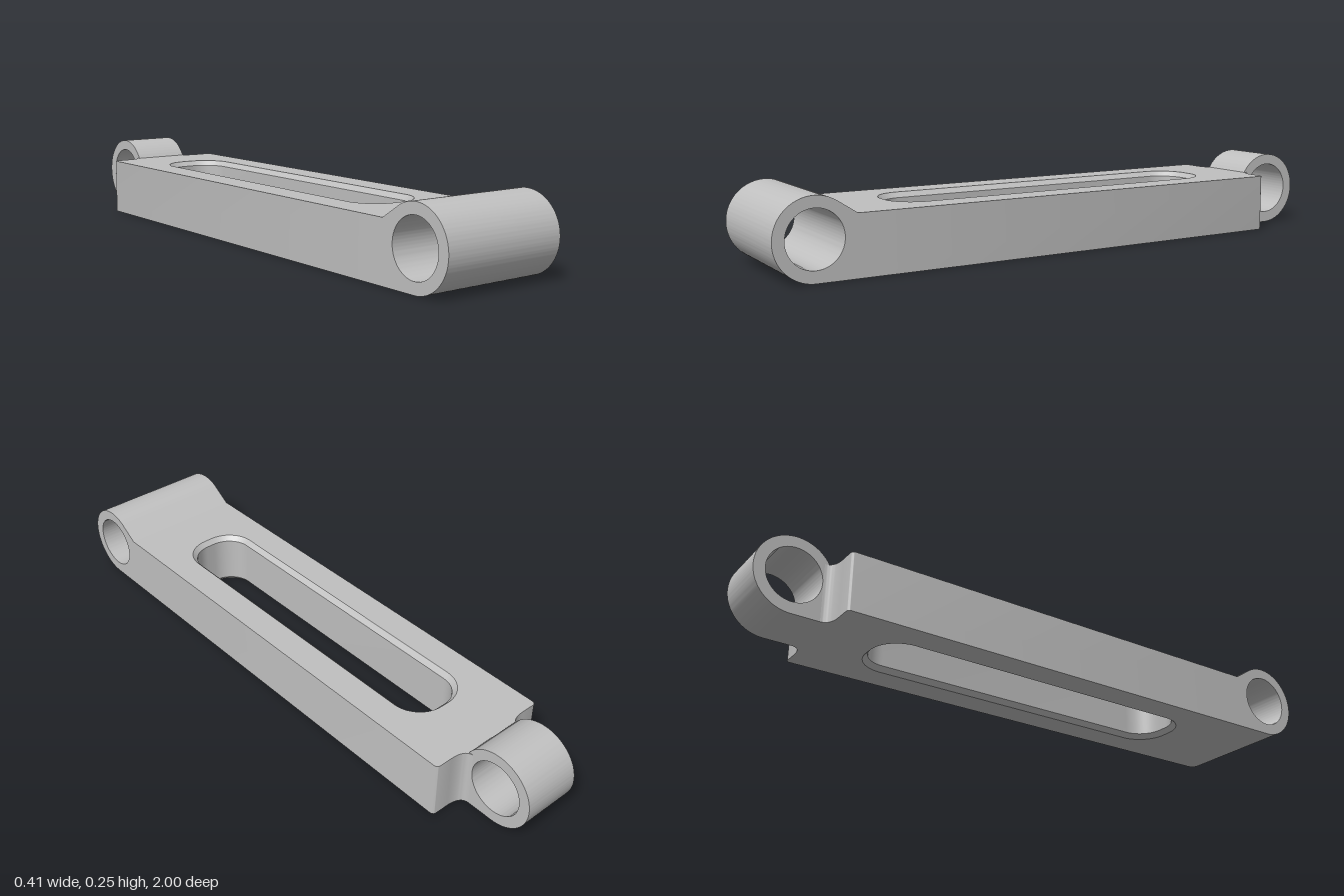
import * as THREE from 'three';
import { mergeGeometries, toCreasedNormals } from 'three/addons/utils/BufferGeometryUtils.js';

const HALF_WIDTH = 0.207, HEIGHT = 0.187;
const PIN_Z = 0.877, OUTER_R = 0.123, BORE_R = 0.087;

// Rounded rectangle, counter-clockwise in plan
function roundedRect(hx, hz, r, n = 14) {
  const pts = [];
  [[1, 1], [-1, 1], [-1, -1], [1, -1]].forEach(([sx, sz], q) => {
    for (let i = 0; i <= n; i++) {
      const a = (q + i / n) * Math.PI / 2;
      pts.push(new THREE.Vector2(sx * (hx - r) + r * Math.cos(a), sz * (hz - r) + r * Math.sin(a)));
    }
  });
  return pts;
}

// Surface through a stack of matching plan loops, each { pts, y }
function loft(rings, closed) {
  const n = rings[0].pts.length, pos = [], index = [];
  for (const { pts, y } of rings) for (const p of pts) pos.push(p.x, y, -p.y);
  for (let k = 0; k < rings.length - 1; k++) {
    for (let i = 0; i < (closed ? n : n - 1); i++) {
      const j = (i + 1) % n, a = k * n + i, b = k * n + j;
      index.push(a, b, b + n, a, b + n, a + n);
    }
  }
  const geo = new THREE.BufferGeometry();
  geo.setAttribute('position', new THREE.Float32BufferAttribute(pos, 3));
  geo.setIndex(index);
  geo.computeVertexNormals();
  return geo;
}

// Flat face with the slot cut out, facing up or down
function cap(outline, hole, y, down) {
  const shape = new THREE.Shape(outline);
  shape.holes.push(new THREE.Path(hole));
  const geo = new THREE.ShapeGeometry(shape);
  geo.deleteAttribute('uv');
  geo.rotateX(-Math.PI / 2).translate(0, y, 0);
  if (down) geo.index.array.reverse();
  geo.computeVertexNormals();
  return geo;
}

// Bar with filleted shoulders and a chamfered slot
function barGeometry() {
  const half = new THREE.Path();
  half.moveTo(HALF_WIDTH, -0.75);
  half.lineTo(HALF_WIDTH, 0.743);
  half.quadraticCurveTo(HALF_WIDTH, 0.757, 0.193, 0.757);
  half.lineTo(0.15, 0.757);
  half.quadraticCurveTo(0.097, 0.757, 0.095, 0.788);
  const right = half.getPoints(12);
  const left = right.map(p => new THREE.Vector2(-p.x, p.y)).reverse();
  const outline = [...right, ...left];
  const rim = roundedRect(0.113, 0.586, 0.098);
  const wall = roundedRect(0.098, 0.571, 0.083);
  const chamfer = 0.016;
  const parts = [
    cap(outline, rim, HEIGHT, false),
    cap(outline, rim, 0, true),
    loft([{ pts: outline, y: 0 }, { pts: outline, y: HEIGHT }], false),
    loft([
      { pts: rim, y: HEIGHT }, { pts: wall, y: HEIGHT - chamfer },
      { pts: wall, y: chamfer }, { pts: rim, y: 0 },
    ], true),
  ];
  return toCreasedNormals(mergeGeometries(parts), 0.5);
}

// Bored lug at the +z end, blending flat into the underside of the bar
function lugGeometry(halfWidth, jointZ, endAngle) {
  const s = new THREE.Shape();
  s.moveTo(jointZ, 0);
  s.lineTo(PIN_Z, 0);
  s.absarc(PIN_Z, OUTER_R, OUTER_R, -Math.PI / 2, endAngle, false);
  s.lineTo(jointZ, HEIGHT);
  const bore = new THREE.Path();
  bore.absarc(PIN_Z, OUTER_R + 0.001, BORE_R, 0, Math.PI * 2, true);
  s.holes.push(bore);
  const geo = new THREE.ExtrudeGeometry(s, { depth: halfWidth * 2, bevelEnabled: false, curveSegments: 56 });
  geo.rotateY(-Math.PI / 2).translate(halfWidth, 0, 0);
  return toCreasedNormals(geo, 0.5);
}

export function createModel() {
  const group = new THREE.Group();
  group.name = 'slottedLink';
  const metal = new THREE.MeshStandardMaterial({ color: 0xc0c0c0 });
  metal.name = 'light grey metal';

  const add = (name, geo) => {
    const mesh = new THREE.Mesh(geo, metal);
    mesh.name = name;
    group.add(mesh);
    return mesh;
  };

  add('slottedBar', barGeometry());
  // Wide lug with a tangent ramp down to the bar
  add('wideFrontLug', lugGeometry(HALF_WIDTH, 0.75, THREE.MathUtils.degToRad(123)));
  // Narrow lug meeting the bar top directly
  add('narrowRearLug', lugGeometry(0.095, 0.757, THREE.MathUtils.degToRad(148.6))).rotation.y = Math.PI;

  return group;
}
